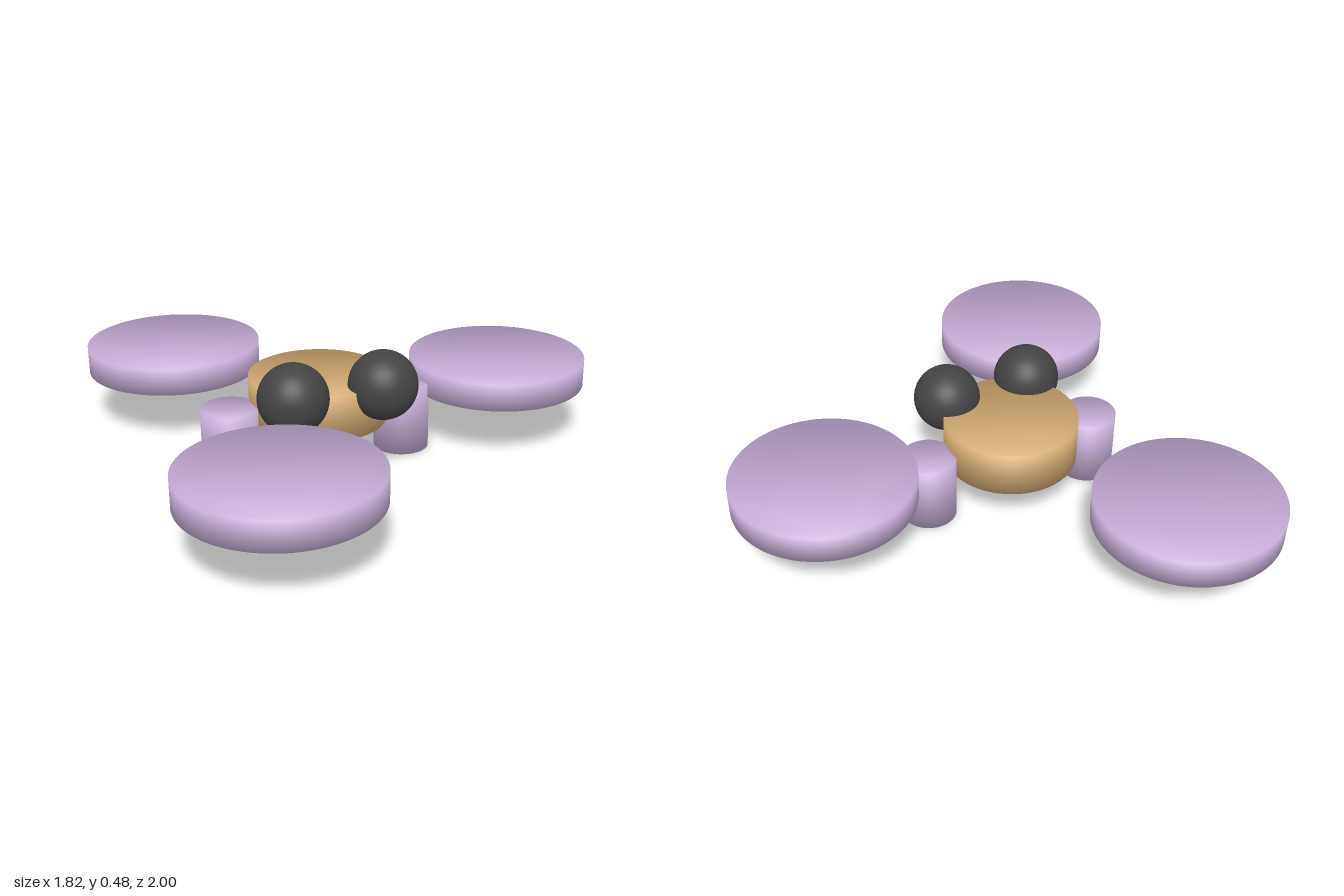
import * as THREE from 'three';

const lilac = new THREE.MeshStandardMaterial({ name: 'lilac', color: 0xc8aed8 });
const tan = new THREE.MeshStandardMaterial({ name: 'tan', color: 0xd4ab72 });
const charcoal = new THREE.MeshStandardMaterial({ name: 'charcoal', color: 0x444444 });

// Upright disc from y0 to y1 whose normals blend smoothly over the rim
function disc(radius, y0, y1) {
  const circle = new THREE.Shape().absarc(0, 0, radius, 0, Math.PI * 2, false);
  const height = y1 - y0;
  const geo = new THREE.ExtrudeGeometry(circle, { depth: height, curveSegments: 64, bevelEnabled: false });
  geo.rotateX(-Math.PI / 2);
  const pos = geo.attributes.position;
  const n = new THREE.Vector3();
  for (let i = 0; i < pos.count; i++) {
    n.set(pos.getX(i) / radius, pos.getY(i) > height / 2 ? 1 : -1, pos.getZ(i) / radius).normalize();
    geo.attributes.normal.setXYZ(i, n.x, n.y, n.z);
  }
  return geo.translate(0, y0, 0);
}

export function createModel() {
  const model = new THREE.Group();
  model.name = 'model';
  const add = (name, geometry, material, x, y, z) => {
    const mesh = new THREE.Mesh(geometry, material);
    mesh.name = name;
    mesh.position.set(x, y, z);
    model.add(mesh);
  };
  const bodyX = -0.19;

  // Central body
  add('body', disc(0.257, 0.175, 0.348), tan, bodyX, 0, 0);

  // Three floating discs around the body
  const pad = disc(0.344, 0.21, 0.315);
  add('leftPad', pad, lilac, 0.566, 0, 0);
  add('frontPad', pad, lilac, -0.567, 0, 0.656);
  add('backPad', pad, lilac, -0.567, 0, -0.656);

  // Pair of legs and pair of eyes, mirrored about the body
  const leg = disc(0.106, 0, 0.263);
  const eye = new THREE.SphereGeometry(0.128, 48, 32);
  for (const [side, s] of [['left', 1], ['right', -1]]) {
    add(side + 'Leg', leg, lilac, bodyX + s * 0.344, 0, 0);
    add(side + 'Eye', eye, charcoal, bodyX + s * 0.172, 0.35, 0.212);
  }
  return model;
}
